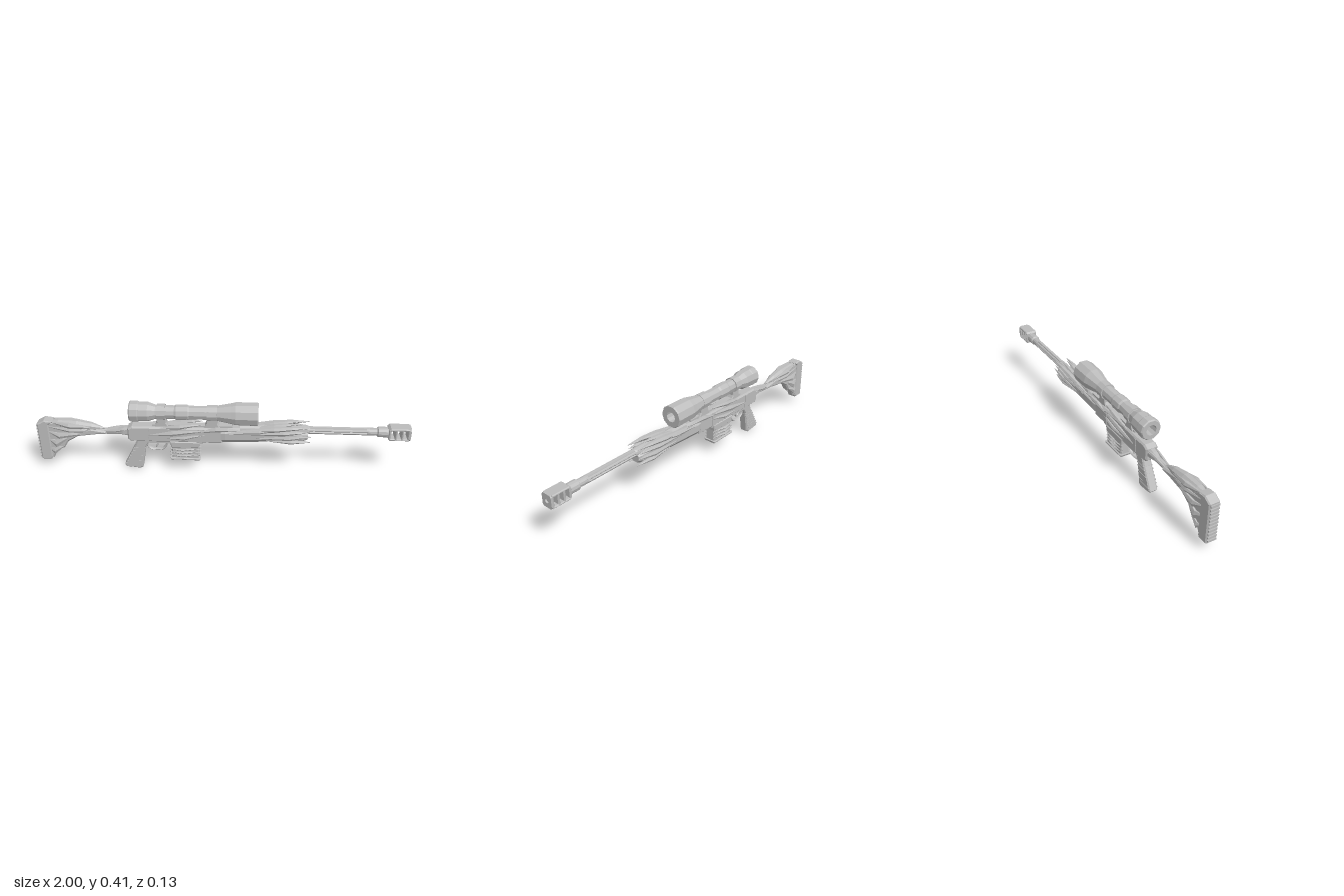
import * as THREE from 'three';

const grey = new THREE.MeshStandardMaterial({ color: 0xbcbcbc });
grey.name = 'grey';

export function createModel() {
  const model = new THREE.Group();

  // Faceted mesh from any geometry
  function add(name, geo) {
    const g = geo.index ? geo.toNonIndexed() : geo;
    g.computeVertexNormals();
    const mesh = new THREE.Mesh(g, grey);
    mesh.name = name;
    model.add(mesh);
    return mesh;
  }
  const box = (name, x0, x1, y0, y1, hz, z = 0) =>
    add(name, new THREE.BoxGeometry(x1 - x0, y1 - y0, 2 * hz).translate((x0 + x1) / 2, (y0 + y1) / 2, z));

  // Side outline extruded across z with chamfered edges
  function slab(name, pts, hz, bevel = 0.006, holes = []) {
    const v = (list) => list.map(([x, y]) => new THREE.Vector2(x, y));
    const shape = new THREE.Shape(v(pts));
    holes.forEach((h) => shape.holes.push(new THREE.Path(v(h))));
    const geo = new THREE.ExtrudeGeometry(shape, {
      depth: 2 * (hz - bevel), bevelEnabled: bevel > 0, bevelSize: bevel,
      bevelOffset: -bevel, bevelThickness: bevel, bevelSegments: 1,
    });
    return add(name, geo.translate(0, 0, bevel - hz));
  }

  // Loft along x: each section is [x, y, z, half height, half depth]
  function loft(name, sections, n = 8, side = 1) {
    const pos = [], idx = [], k = 1 / Math.cos(Math.PI / n);
    for (const [x, y, z, ry, rz] of sections)
      for (let j = 0; j < n; j++) {
        const a = ((j + 0.5) / n) * Math.PI * 2;
        pos.push(x, y + ry * k * Math.cos(a), side * z + rz * k * Math.sin(a));
      }
    const last = sections.length - 1;
    for (let i = 0; i < last; i++)
      for (let j = 0; j < n; j++) {
        const a = i * n + j, b = i * n + ((j + 1) % n);
        idx.push(a, b, a + n, b, b + n, a + n);
      }
    for (let j = 1; j < n - 1; j++) idx.push(0, j + 1, j, last * n, last * n + j, last * n + j + 1);
    const geo = new THREE.BufferGeometry();
    geo.setAttribute('position', new THREE.Float32BufferAttribute(pos, 3));
    geo.setIndex(idx);
    return add(name, geo);
  }

  // Pointed blade on both sides, running through three points
  function blades(name, a, b, c, h, d) {
    for (const s of [1, -1])
      loft(name, [[...a, 0.002, 0.002], [...b, h, d],
        [(b[0] + c[0]) / 2, (b[1] + c[1]) / 2 + 0.003, (b[2] + c[2]) / 2, h * 0.7, d * 0.8],
        [...c, 0.001, 0.001]], 6, s);
  }

  // Ring section turned around the x axis: points are [x, radius]
  function turned(name, pts, y, n) {
    const geo = new THREE.LatheGeometry(pts.map(([x, r]) => new THREE.Vector2(r, x)), n);
    return add(name, geo.rotateZ(-Math.PI / 2).translate(0, y, 0));
  }

  // Fluted barrel with collar
  const BY = 0.267;
  const flute = new THREE.Shape();
  for (let i = 0; i < 24; i++) {
    const a = (i / 24) * Math.PI * 2, r = i % 4 === 0 ? 0.016 : 0.021;
    flute[i ? 'lineTo' : 'moveTo'](r * Math.cos(a), r * Math.sin(a));
  }
  add('flutedBarrel', new THREE.ExtrudeGeometry(flute, { depth: 0.36, bevelEnabled: false })
    .rotateY(Math.PI / 2).translate(0.42, BY, 0));
  turned('barrelCollar', [[0.77, 0], [0.77, 0.021], [0.825, 0.021], [0.83, 0.028], [0.88, 0.028], [0.89, 0.02], [0.89, 0]], BY, 12);
  turned('barrelRoot', [[0.1, 0], [0.1, 0.026], [0.46, 0.024], [0.47, 0.02], [0.47, 0]], BY, 12);

  // Muzzle brake: slotted body and bored front plate
  const slots = [0.896, 0.929, 0.962].map((x) => [[x, 0.242], [x, 0.29], [x + 0.021, 0.29], [x + 0.021, 0.242]]);
  slab('muzzleBrake', [[0.883, 0.24], [0.893, 0.231], [0.992, 0.231], [0.992, 0.303], [0.893, 0.303], [0.883, 0.294]], 0.033, 0.004, slots);
  const plate = new THREE.Shape([[-0.032, -0.026], [-0.024, -0.036], [0.024, -0.036], [0.032, -0.026],
    [0.032, 0.026], [0.024, 0.036], [-0.024, 0.036], [-0.032, 0.026]].map((p) => new THREE.Vector2(...p)));
  plate.holes.push(new THREE.Path().absarc(0, 0, 0.012, 0, Math.PI * 2, true));
  add('muzzlePlate', new THREE.ExtrudeGeometry(plate, { depth: 0.01, bevelEnabled: false, curveSegments: 6 })
    .rotateY(Math.PI / 2).translate(0.99, BY, 0));

  // Hollow ten-sided scope
  turned('scope', [[-0.49, 0.029], [-0.49, 0.052], [-0.483, 0.057], [-0.445, 0.057], [-0.44, 0.054], [-0.39, 0.053],
    [-0.35, 0.039], [-0.25, 0.037], [-0.24, 0.042], [-0.18, 0.042], [-0.17, 0.037], [-0.04, 0.038], [0.05, 0.056],
    [0.075, 0.062], [0.188, 0.064], [0.195, 0.06], [0.195, 0.029], [-0.49, 0.029]], 0.356, 10);
  // Scope mounts and rail
  for (const [x0, x1] of [[-0.35, -0.29], [-0.085, -0.015]]) {
    slab('scopeMount', [[x0 - 0.012, 0.27], [x1 + 0.012, 0.27], [x1 - 0.005, 0.3], [x1 - 0.005, 0.33], [x0 + 0.005, 0.33], [x0 + 0.005, 0.3]], 0.022, 0.004);
    turned('scopeRing', [[x0 + 0.008, 0.03], [x0 + 0.008, 0.044], [x1 - 0.008, 0.044], [x1 - 0.008, 0.03]], 0.356, 10);
  }
  box('rail', -0.37, 0.06, 0.268, 0.286, 0.017);

  // Receiver with port, seam plates and carved side ridges
  slab('receiver', [[-0.505, 0.2], [-0.49, 0.185], [0.005, 0.185], [0.005, 0.265], [-0.01, 0.277], [-0.48, 0.277], [-0.505, 0.262]], 0.034, 0.008);
  box('receiverBand', -0.12, -0.1, 0.19, 0.27, 0.037);
  box('receiverBand', -0.41, -0.39, 0.192, 0.268, 0.037);
  box('triggerHousing', -0.42, -0.1, 0.175, 0.195, 0.027);
  blades('receiverCarving', [-0.4, 0.225, 0.032], [-0.26, 0.245, 0.036], [-0.08, 0.262, 0.034], 0.014, 0.012);
  blades('receiverCarving', [-0.36, 0.265, 0.028], [-0.22, 0.282, 0.028], [-0.1, 0.292, 0.02], 0.012, 0.012);
  blades('receiverCarving', [-0.3, 0.21, 0.032], [-0.2, 0.215, 0.036], [-0.09, 0.235, 0.034], 0.01, 0.009);
  blades('receiverCarving', [-0.14, 0.25, 0.032], [-0.03, 0.272, 0.034], [0.1, 0.272, 0.035], 0.012, 0.01);

  // Forend and its swept flame blades
  loft('forend', [[-0.005, 0.23, 0, 0.045, 0.034], [0.02, 0.231, 0, 0.046, 0.038], [0.25, 0.238, 0, 0.042, 0.038],
    [0.38, 0.24, 0, 0.04, 0.04], [0.44, 0.24, 0, 0.034, 0.036], [0.46, 0.24, 0, 0.026, 0.028]]);
  blades('forendFlame', [0.06, 0.262, 0.03], [0.28, 0.283, 0.033], [0.47, 0.298, 0.036], 0.014, 0.016);
  blades('forendFlame', [0.12, 0.25, 0.036], [0.33, 0.265, 0.042], [0.46, 0.272, 0.04], 0.012, 0.012);
  blades('forendFlame', [0.02, 0.25, 0.034], [0.2, 0.268, 0.036], [0.4, 0.295, 0.03], 0.012, 0.012);
  blades('forendFlame', [0.18, 0.228, 0.036], [0.36, 0.235, 0.042], [0.475, 0.245, 0.04], 0.012, 0.01);
  blades('forendFlame', [0.24, 0.21, 0.03], [0.37, 0.21, 0.036], [0.475, 0.207, 0.03], 0.011, 0.012);
  blades('forendFlame', [0.16, 0.275, 0.012], [0.28, 0.292, 0.014], [0.42, 0.308, 0.014], 0.011, 0.012);
  add('lowerStud', new THREE.SphereGeometry(0.02, 8, 6).scale(1.3, 0.8, 0.9).translate(0.35, 0.193, 0));

  // Ridged pistol grip
  slab('grip', [[-0.455, 0.19], [-0.475, 0.14], [-0.535, 0.022], [-0.525, 0.01], [-0.45, 0.002], [-0.433, 0.012], [-0.413, 0.14], [-0.385, 0.19]], 0.025, 0.007);
  for (let i = 0; i < 7; i++) {
    const y = 0.03 + i * 0.017, x = -0.524 + i * 0.0085;
    box('gripRidge', x - 0.003, x + 0.078 - i * 0.003, y, y + 0.007, i % 2 ? 0.027 : 0.026);
  }

  // Trigger guard and trigger
  const guard = new THREE.CatmullRomCurve3([[-0.405, 0.17], [-0.4, 0.14], [-0.38, 0.124], [-0.32, 0.126], [-0.303, 0.145], [-0.29, 0.182]]
    .map(([x, y]) => new THREE.Vector3(x, y, 0)));
  add('triggerGuard', new THREE.TubeGeometry(guard, 14, 0.006, 6).scale(1, 1, 2));
  slab('trigger', [[-0.36, 0.185], [-0.352, 0.155], [-0.36, 0.136], [-0.353, 0.136], [-0.341, 0.155], [-0.343, 0.185]], 0.007, 0.001);

  // Magazine with wavy ribs, flared floor and jagged side fins
  slab('magazine', [[-0.268, 0.19], [-0.268, 0.082], [-0.122, 0.08], [-0.122, 0.19]], 0.03, 0.005);
  slab('magazineFloor', [[-0.278, 0.087], [-0.272, 0.074], [-0.118, 0.072], [-0.112, 0.085]], 0.037, 0.004);
  slab('magazineCollar', [[-0.276, 0.188], [-0.272, 0.152], [-0.118, 0.152], [-0.114, 0.188]], 0.034, 0.004);
  for (let i = 0; i < 3; i++) {
    const y = 0.099 + i * 0.019;
    blades('magazineRib', [-0.28, y + 0.004, 0.026], [-0.21, y, 0.032], [-0.112, y + 0.006, 0.028], 0.006, 0.008);
  }

  // Stock neck
  loft('stockNeck', [[-0.72, 0.226, 0, 0.018, 0.018], [-0.62, 0.226, 0, 0.015, 0.014], [-0.56, 0.23, 0, 0.016, 0.016],
    [-0.53, 0.234, 0, 0.021, 0.024], [-0.5, 0.234, 0, 0.026, 0.026]]);
  blades('neckCarving', [-0.67, 0.228, 0.01], [-0.58, 0.238, 0.014], [-0.49, 0.252, 0.022], 0.01, 0.008);

  // Stock body, butt pad and rear ridges
  slab('stockBody', [[-0.945, 0.285], [-0.945, 0.055], [-0.925, 0.06], [-0.905, 0.1], [-0.86, 0.125], [-0.835, 0.165],
    [-0.78, 0.198], [-0.68, 0.213], [-0.62, 0.215], [-0.62, 0.235], [-0.72, 0.25], [-0.85, 0.27], [-0.9, 0.285]], 0.023, 0.008);
  slab('buttPad', [[-0.994, 0.275], [-0.994, 0.055], [-0.985, 0.05], [-0.94, 0.05], [-0.932, 0.065], [-0.932, 0.27], [-0.91, 0.29], [-0.955, 0.297], [-0.975, 0.285]], 0.03, 0.006);
  for (let i = 0; i < 11; i++) box('buttRidge', -1, -0.985, 0.062 + i * 0.0195, 0.073 + i * 0.0195, 0.024);

  // Cheek piece: long leaf-shaped shells over a core
  loft('cheekCore', [[-0.93, 0.276, 0, 0.01, 0.012], [-0.88, 0.272, 0, 0.022, 0.026], [-0.78, 0.266, 0, 0.026, 0.028],
    [-0.7, 0.256, 0, 0.02, 0.022], [-0.632, 0.244, 0, 0.003, 0.004]]);
  blades('cheekLeaf', [-0.925, 0.288, 0.02], [-0.82, 0.27, 0.027], [-0.64, 0.245, 0.006], 0.015, 0.013);
  blades('cheekLeaf', [-0.94, 0.258, 0.02], [-0.82, 0.24, 0.025], [-0.67, 0.228, 0.012], 0.012, 0.01);
  blades('stockCarving', [-0.945, 0.23, 0.02], [-0.88, 0.205, 0.026], [-0.74, 0.215, 0.018], 0.017, 0.012);
  blades('stockCarving', [-0.945, 0.18, 0.02], [-0.9, 0.155, 0.026], [-0.83, 0.19, 0.02], 0.022, 0.012);
  blades('stockCarving', [-0.945, 0.12, 0.02], [-0.915, 0.105, 0.024], [-0.86, 0.135, 0.02], 0.018, 0.01);

  return model;
}
